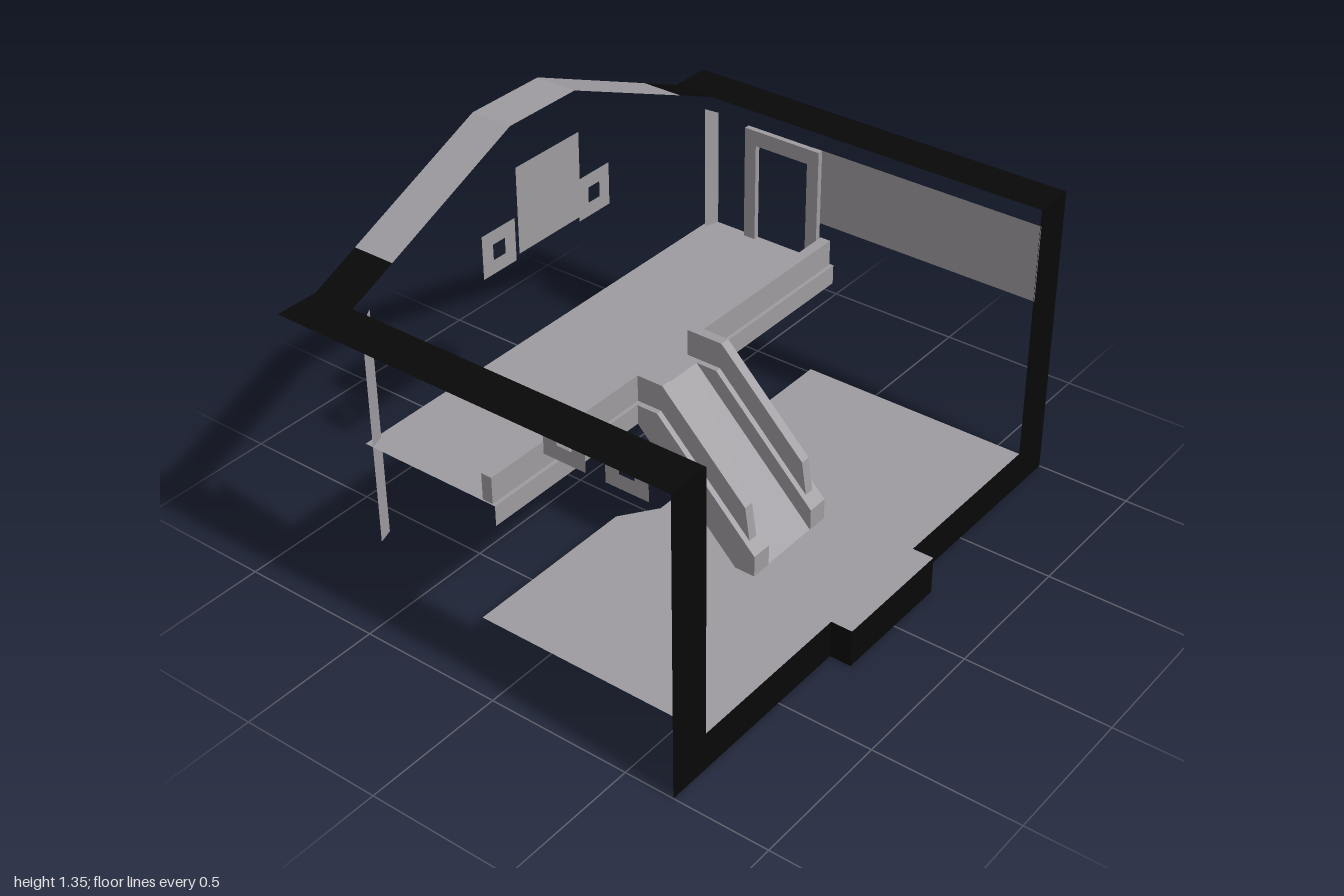
import * as THREE from 'three';

export function createModel() {
  const model = new THREE.Group();
  const plaster = new THREE.MeshStandardMaterial({ color: 0x9f9ca1, side: THREE.DoubleSide });
  plaster.name = 'plasterGrey';
  const cut = new THREE.MeshStandardMaterial({ color: 0x080808, side: THREE.DoubleSide });
  cut.name = 'cutBlack';

  const add = (name, geo, mat = plaster, x = 0, y = 0, z = 0) => {
    const m = new THREE.Mesh(geo, mat);
    m.name = name;
    m.position.set(x, y, z);
    model.add(m);
    return m;
  };
  const shape = pts => new THREE.Shape(pts.map(p => new THREE.Vector2(...p)));
  // Flat convex face through 3D corners, counter-clockwise from its front
  const face = (name, pts, mat) => {
    const g = new THREE.BufferGeometry();
    g.setAttribute('position', new THREE.Float32BufferAttribute(pts.flat(), 3));
    const index = [];
    for (let i = 1; i < pts.length - 1; i++) index.push(0, i, i + 1);
    g.setIndex(index);
    g.computeVertexNormals();
    return add(name, g, mat);
  };
  // Horizontal face from (x, z) corners
  const flat = (name, pts, y, mat) => {
    const g = new THREE.ShapeGeometry(shape(pts.map(([x, z]) => [x, -z])));
    return add(name, g.rotateX(-Math.PI / 2), mat, 0, y, 0);
  };
  const box = (name, x0, x1, y0, y1, z0, z1) =>
    add(name, new THREE.BoxGeometry(x1 - x0, y1 - y0, z1 - z0), plaster, (x0 + x1) / 2, (y0 + y1) / 2, (z0 + z1) / 2);
  // Solid from a (z, y) side profile, spanning x0..x1
  const sideSolid = (name, pts, x0, x1) => {
    const g = new THREE.ExtrudeGeometry(shape(pts.map(([z, y]) => [-z, y])), { depth: x1 - x0, bevelEnabled: false });
    return add(name, g.rotateY(Math.PI / 2), plaster, x0, 0, 0);
  };

  // Cut front section of the walls and ground slab
  add('frontSection', new THREE.ShapeGeometry(shape([
    [-1, 0], [1, 0], [1, 1.05], [0.85, 1.05], [0.85, 0.133], [-0.85, 0.133], [-0.85, 1.05], [-1, 1.05],
  ])), cut, 0, 0, 0.672);

  // Cut tops of the side walls
  for (const s of [-1, 1]) {
    const a = Math.min(s, s * 0.85), b = Math.max(s, s * 0.85);
    flat('sideWallTop', [[a, 0.672], [b, 0.672], [b, -0.75], [a, -0.75]], 1.05, cut);
  }

  // Gable top of the back wall: black at the eaves, grey over the middle
  const gable = [[-0.85, 1.05], [-0.68, 1.123], [-0.15, 1.35], [0.15, 1.35], [0.68, 1.123], [0.85, 1.05]];
  for (let i = 0; i < gable.length - 1; i++) {
    const [x0, y0] = gable[i], [x1, y1] = gable[i + 1];
    face('gableTop', [[x0, y0, -0.6], [x1, y1, -0.6], [x1, y1, -0.75], [x0, y0, -0.75]],
      i === 0 || i === 4 ? cut : plaster);
  }

  // Ground floor with a tapered recess at the back
  flat('groundFloor', [
    [-0.85, 0.672], [0.85, 0.672], [0.85, -0.165], [0.2, -0.165], [0.08, -0.08],
    [-0.1, -0.08], [-0.22, -0.165], [-0.85, -0.165],
  ], 0.133);
  flat('doorMat', [[-0.18, 0.615], [0.16, 0.615], [0.16, 0.515], [-0.18, 0.515]], 0.13);

  // Porch step
  const [px0, px1, pz0, pz1, py] = [-0.235, 0.21, 0.672, 0.747, 0.133];
  flat('porchTop', [[px0, pz1], [px1, pz1], [px1, pz0], [px0, pz0]], py);
  face('porchFront', [[px0, 0, pz1], [px1, 0, pz1], [px1, py, pz1], [px0, py, pz1]], cut);
  face('porchRightSide', [[px0, 0, pz0], [px0, 0, pz1], [px0, py, pz1], [px0, py, pz0]], cut);
  face('porchLeftSide', [[px1, 0, pz1], [px1, 0, pz0], [px1, py, pz0], [px1, py, pz1]], cut);

  // Upper floor with its front fascia
  flat('upperFloor', [[-0.85, -0.087], [0.85, -0.087], [0.85, -0.6], [-0.85, -0.6]], 0.58);
  for (const [x0, x1] of [[-0.85, -0.125], [0.097, 0.85]]) {
    face('upperFascia', [[x0, 0.51, -0.087], [x1, 0.51, -0.087], [x1, 0.58, -0.087], [x0, 0.58, -0.087]]);
  }

  // Upper parapets
  box('upperRail', -0.845, -0.145, 0.58, 0.672, -0.138, -0.1);
  box('upperRail', 0.117, 0.845, 0.58, 0.672, -0.138, -0.1);

  // Stair ramp with stringers and sloping rails
  face('stairRamp', [[-0.125, 0.133, 0.36], [0.097, 0.133, 0.36], [0.097, 0.58, -0.087], [-0.125, 0.58, -0.087]]);
  const stringer = [[-0.085, 0.51], [-0.085, 0.58], [-0.01, 0.58], [0.362, 0.207], [0.362, 0.133], [0.29, 0.133]];
  const rail = [[-0.1, 0.58], [-0.1, 0.672], [-0.005, 0.672], [0.31, 0.357], [0.328, 0.241], [-0.01, 0.58]];
  for (const [x0, x1] of [[-0.2, -0.125], [0.097, 0.172]]) sideSolid('stairStringer', stringer, x0, x1);
  for (const [x0, x1] of [[-0.18, -0.145], [0.117, 0.152]]) sideSolid('stairRail', rail, x0, x1);

  // Corner posts: thin, slightly turned, with slanted tops
  for (const s of [-1, 1]) {
    const pts = [[s * 0.85, 0.228, -0.57], [s * 0.797, 0.228, -0.587], [s * 0.797, 1.03, -0.587], [s * 0.85, 1.0, -0.57]];
    face('cornerPost', s < 0 ? pts : pts.reverse());
  }

  // Small square window frames
  const frame = shape([[-0.075, -0.075], [0.075, -0.075], [0.075, 0.075], [-0.075, 0.075]]);
  const h = 0.027;
  frame.holes.push(new THREE.Path([[-h, -h], [-h, h], [h, h], [h, -h]].map(p => new THREE.Vector2(...p))));
  const frameGeo = new THREE.ShapeGeometry(frame);
  for (const x of [-0.247, 0.205]) add('backWindowFrame', frameGeo, plaster, x, 0.977, -0.58);
  for (const s of [-1, 1]) {
    for (const z of [0.4, 0.18]) {
      add('sideWindowFrame', frameGeo, plaster, s * 0.845, 0.92, z).rotation.y = -s * Math.PI / 2;
    }
  }

  // Square panel on the back wall
  add('backPanel', new THREE.PlaneGeometry(0.295, 0.3), plaster, -0.012, 1.07, -0.578);

  // Left side wall panel and doorway surround
  face('sideWallPanel', [[0.852, 0.72, 0.675], [0.852, 0.72, -0.187], [0.852, 0.992, -0.187], [0.852, 0.992, 0.675]]);
  sideSolid('doorSurround', [
    [-0.147, 0.58], [-0.147, 0.992], [-0.445, 0.992], [-0.445, 0.58],
    [-0.4, 0.58], [-0.4, 0.937], [-0.192, 0.937], [-0.192, 0.58],
  ], 0.83, 0.85);

  return model;
}
